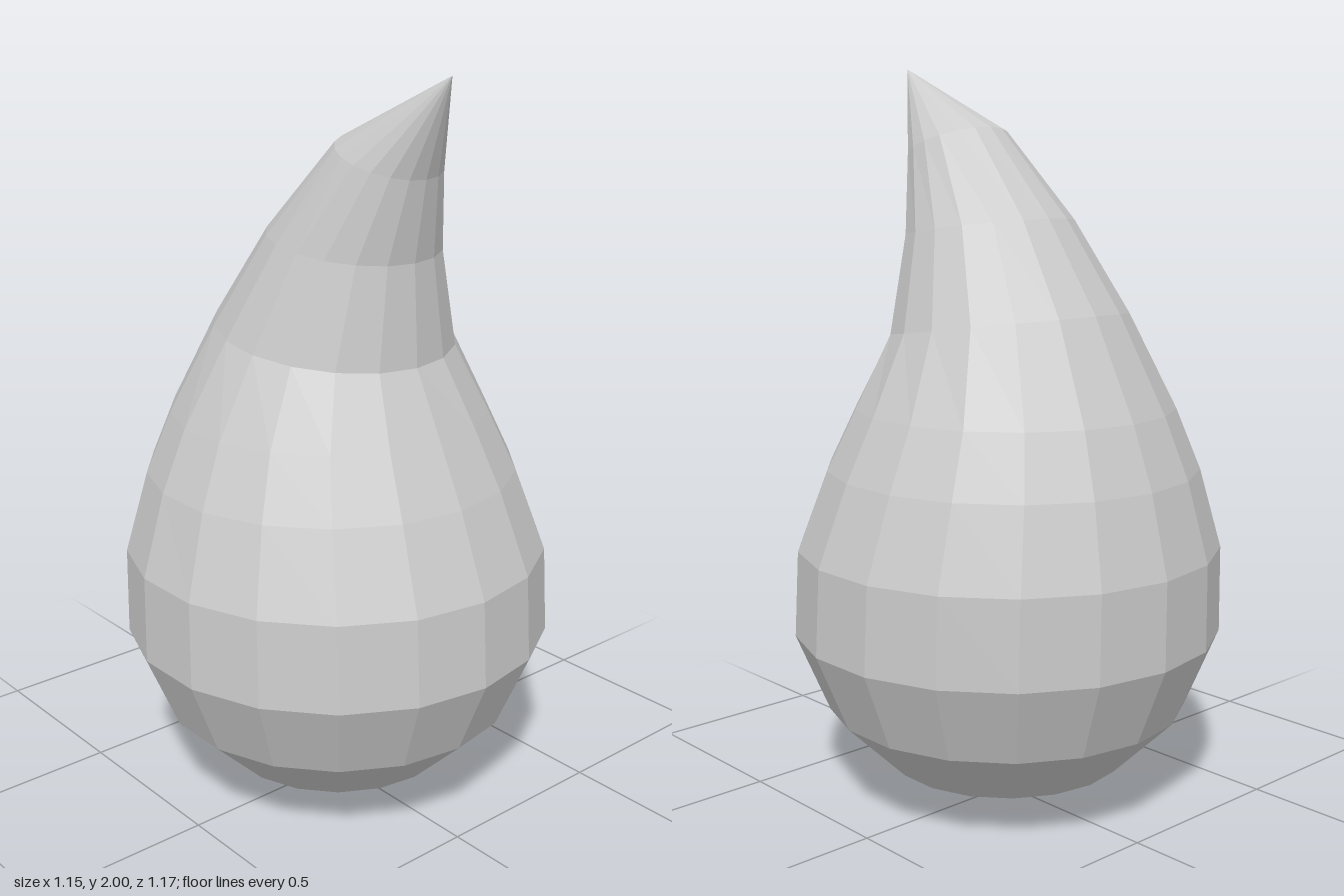
import * as THREE from 'three';

const SIDES = 18;

// Each ring is given by its back and front points: [backZ, backY, frontZ, frontY]
const RINGS = [
  [0, 0, 0, 0],
  [-0.11, 0.015, 0.11, 0.015],
  [-0.328, 0.105, 0.328, 0.105],
  [-0.495, 0.27, 0.495, 0.27],
  [-0.585, 0.485, 0.585, 0.485],
  [-0.585, 0.72, 0.57, 0.72],
  [-0.53, 0.935, 0.48, 0.94],
  [-0.465, 1.1, 0.4, 1.1],
  [-0.33, 1.36, 0.31, 1.275],
  [-0.16, 1.6, 0.295, 1.54],
  [0.064, 1.836, 0.33, 1.75],
  [0.41, 2, 0.41, 2],
];

// Skin a stack of tilted circles; the first and last are single points
function loftRings(rings) {
  const positions = [];
  const indices = [];
  for (const [bz, by, fz, fy] of rings) {
    const radius = Math.hypot(fz - bz, fy - by) / 2;
    for (let i = 0; i < SIDES; i++) {
      const a = (i / SIDES) * Math.PI * 2;
      const t = (1 + Math.cos(a)) / 2;
      positions.push(radius * Math.sin(a), by + (fy - by) * t, bz + (fz - bz) * t);
    }
  }
  for (let r = 0; r < rings.length - 1; r++) {
    for (let i = 0; i < SIDES; i++) {
      const j = (i + 1) % SIDES;
      const a = r * SIDES + i, b = r * SIDES + j;
      const c = b + SIDES, d = a + SIDES;
      if (r > 0) indices.push(a, b, d);
      if (r < rings.length - 2) indices.push(b, c, d);
      if (r === 0) indices.push(a, c, d);
    }
  }
  const geometry = new THREE.BufferGeometry();
  geometry.setAttribute('position', new THREE.Float32BufferAttribute(positions, 3));
  geometry.setIndex(indices.slice());
  geometry.computeVertexNormals();
  return geometry;
}

export function createModel() {
  const group = new THREE.Group();
  group.name = 'curledDrop';

  // Round body drawn up into a forward-curling tip
  const material = new THREE.MeshStandardMaterial({ color: 0xcccccc, flatShading: true });
  const body = new THREE.Mesh(loftRings(RINGS), material);
  body.name = 'dropBody';
  group.add(body);

  return group;
}
